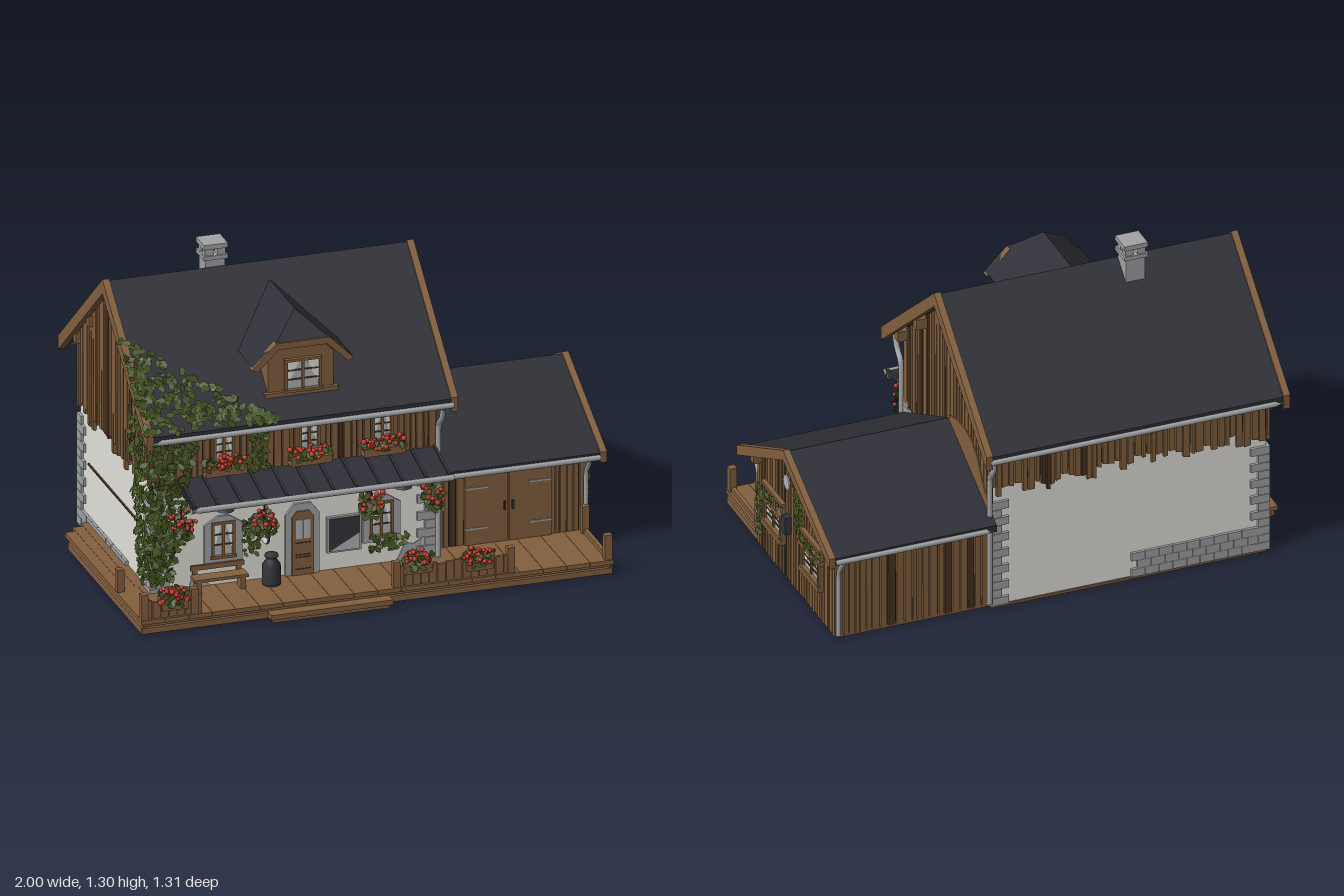
import * as THREE from 'three';
import { mergeGeometries } from 'three/addons/utils/BufferGeometryUtils.js';

const material = (name, color, side = THREE.FrontSide) => {
  const m = new THREE.MeshStandardMaterial({ color, side });
  m.name = name;
  return m;
};

export function createModel() {
  const root = new THREE.Group();
  root.name = 'chalet';
  const wood = material('wood', 0x83603f), darkWood = material('darkWood', 0x4a3423);
  const slate = material('slate', 0x2f3037, THREE.DoubleSide), plaster = material('plaster', 0xfffcf4);
  const stone = material('stone', 0xa3a4a6), leaf = material('leaf', 0x3f4f1c, THREE.DoubleSide);
  const flower = material('flower', 0xc4382a), iron = material('iron', 0x33343b);
  const glass = material('glass', 0xb2b5b7), earth = material('underside', 0x7a5a3d);

  let seed = 7;
  const rnd = (a = 0, b = 1) => {
    seed = (seed * 16807) % 2147483647;
    return a + (b - a) * seed / 2147483647;
  };

  // ---- helpers ----
  const part = (name, mat, geos, parent = root) => {
    const clean = geos.map(g => {
      const n = g.index ? g.toNonIndexed() : g;
      n.deleteAttribute('uv');
      n.clearGroups();
      return n;
    });
    const mesh = new THREE.Mesh(mergeGeometries(clean), mat);
    mesh.name = name;
    parent.add(mesh);
  };
  const box = (x0, x1, y0, y1, z0, z1) =>
    new THREE.BoxGeometry(x1 - x0, y1 - y0, z1 - z0).translate((x0 + x1) / 2, (y0 + y1) / 2, (z0 + z1) / 2);
  const extrude = (pts, depth) => new THREE.ExtrudeGeometry(
    new THREE.Shape(pts.map(p => new THREE.Vector2(...p))), { depth, bevelEnabled: false });
  const prismZ = (pts, z0, z1) => extrude(pts, z1 - z0).translate(0, 0, z0); // pts are x, y
  const prismX = (pts, x0, x1) =>                                           // pts are z, y
    extrude(pts.map(([z, y]) => [-z, y]), x1 - x0).rotateY(Math.PI / 2).translate(x0, 0, 0);
  const tube = (pts, r) => new THREE.TubeGeometry(
    new THREE.CatmullRomCurve3(pts.map(p => new THREE.Vector3(...p)), false, 'catmullrom', 0.1), 28, r, 8);
  const chevron = (zr, yr, zf, yf, zb, yb, t) =>
    [[zf, yf], [zr, yr], [zb, yb], [zb, yb - t], [zr, yr - t], [zf, yf - t]];

  // vertical boards of uneven width between two height rules
  const boards = (name, prism, a0, a1, d0, d1, bottom, top) => {
    const tones = [[], []];
    for (let a = a0; a < a1 - 0.004;) {
      let e = Math.min(a + rnd(0.018, 0.036), a1);
      if (a1 - e < 0.012) e = a1;
      const lo = bottom(a), s = e - rnd(0.003, 0.007), lean = rnd(-0.002, 0);
      tones[rnd() < 0.07 ? 1 : 0].push(prism([[a, lo], [s + lean, lo + rnd(-0.006, 0.006)], [s, top(s)], [a, top(a)]], d0, d1));
      a = e;
    }
    if (tones[0].length) part(name, wood, tones[0]);
    if (tones[1].length) part(name + 'Dark', darkWood, tones[1]);
  };

  // a single flat leaf roughly facing a direction
  const leafAt = (p, n, size) => {
    const g = new THREE.CircleGeometry(size, 5).scale(0.75, 1.1, 1).rotateZ(rnd(0, 6.3));
    const dir = new THREE.Vector3(n[0] + rnd(-0.5, 0.4), n[1] + rnd(-0.3, 0.7), n[2] + rnd(-0.4, 0.5)).normalize();
    g.applyQuaternion(new THREE.Quaternion().setFromUnitVectors(new THREE.Vector3(0, 0, 1), dir));
    return g.translate(...p);
  };
  const ivy = (name, count, place, n, size = 0.017) =>
    part(name, leaf, Array.from({ length: count }, () => leafAt(place(rnd(), rnd()), n, size * rnd(0.7, 1.2))));
  const flowers = (name, x, y, z, rx, ry, rz, count) => {
    const spot = () => {
      const a = rnd(0, 6.28), k = Math.sqrt(rnd());
      return [x + rx * k * Math.cos(a), y + rnd(-ry, ry), z + rz * k * Math.sin(a)];
    };
    part(name + 'Leaves', leaf, Array.from({ length: count * 2 }, () => leafAt(spot(), [0, 0.4, 0.8], 0.015)));
    part(name + 'Blooms', flower, Array.from({ length: count }, () => {
      const p = spot();
      return new THREE.IcosahedronGeometry(rnd(0.008, 0.0115), 1).translate(p[0], p[1] + ry * 0.5, p[2] + rz * 0.2);
    }));
  };

  // ---- main house ----
  const mainTop = z => 1.163 - 0.8333 * Math.abs(z + 0.11);
  const shedTop = z => 0.608 - 0.5 * Math.abs(z + 0.12);
  const gable = (f, zb, zr, zf, y0) => [[zf, y0], [zf, f(zf)], [zr, f(zr)], [zb, f(zb)], [zb, y0]];
  part('floorSlab', earth, [box(-0.87, 0.29, 0, 0.012, -0.53, 0.35), box(0.29, 0.935, 0, 0.012, -0.51, 0.28)]);
  part('plasterWalls', plaster, [box(-0.87, 0.285, 0.012, 0.57, -0.525, 0.348)]);
  part('upperWalls', darkWood, [prismX(gable(mainTop, -0.526, -0.11, 0.345, 0.555), -0.872, 0.284),
    box(0.28, 0.289, 0.3, 0.6, -0.52, 0.35), box(-0.86, 0.285, 0.475, 0.6, 0.34, 0.351)]);
  boards('frontBoards', prismZ, -0.88, 0.295, 0.345, 0.358, () => 0.47, () => mainTop(0.35));
  boards('backBoards', prismZ, -0.88, 0.295, -0.54, -0.524, () => rnd(0.49, 0.56), () => mainTop(-0.53));
  boards('leftGableBoards', prismX, -0.535, 0.355, -0.883, -0.868, () => rnd(0.47, 0.54), mainTop);
  boards('rightGableBoards', prismX, -0.535, 0.355, 0.284, 0.298, () => 0.46, mainTop);
  part('gablePatch', wood, [prismX([[-0.12, 0.6], [-0.13, 0.66], [-0.2, 0.68], [-0.28, 0.685], [-0.36, 0.67], [-0.42, 0.62], [-0.47, 0.54], [-0.53, 0.48], [-0.53, 0.43]], 0.294, 0.302)]);
  part('leftWallRail', darkWood, [box(-0.877, -0.868, 0.3, 0.306, -0.42, 0.2)]);

  // stone corners and plinth
  const stones = [];
  [[-0.87, -0.525, 1, 1], [-0.87, 0.348, 1, -1], [0.285, -0.525, -1, 1], [0.285, 0.348, -1, -1]].forEach(([x, z, sx, sz]) => {
    for (let i = 0; i < 13; i++) {
      const lx = i % 2 ? 0.05 : 0.08, lz = i % 2 ? 0.08 : 0.05, y = 0.012 + i * 0.036;
      stones.push(box(-lx / 2, lx / 2, y, y + 0.034, -lz / 2, lz / 2)
        .translate(x + sx * (lx / 2 - 0.012), 0, z + sz * (lz / 2 - 0.012)));
    }
  });
  for (let j = 0; j < 3; j++) for (let i = 0; i < 9; i++) {
    const x = -0.82 + i * 0.058 - (j % 2) * 0.025, y = 0.012 + j * 0.036, z = -0.48 + i * 0.06;
    stones.push(box(x, x + 0.056, y, y + 0.035, -0.536, -0.52));
    if (j < 2) stones.push(box(-0.882, -0.865, y, y + 0.035, z, z + 0.058));
  }
  part('stonework', stone, stones);
  part('bareWallPatches', stone, [
    [[0.13, 0.06], [0.24, 0.06], [0.24, 0.15], [0.2, 0.13], [0.17, 0.14]],
    [[-0.2, 0.4], [-0.16, 0.42], [-0.17, 0.46], [-0.22, 0.45]],
    [[-0.72, 0.06], [-0.62, 0.06], [-0.66, 0.09], [-0.71, 0.1]],
  ].map(p => prismZ(p, 0.344, 0.352)));

  // main roof, rake boards and purlin ends
  part('mainRoof', slate, [prismX(chevron(-0.11, 1.205, 0.43, 0.755, -0.645, 0.755, 0.035), -0.9, 0.335)]);
  const rake = chevron(-0.11, 1.212, 0.435, 0.762, -0.65, 0.762, 0.06);
  part('mainRakeBoards', wood, [prismX(rake, -0.92, -0.892), prismX(rake, 0.33, 0.358)]);
  const purlins = [];
  [-0.11, 0.13, 0.32, -0.35, -0.51].forEach(z => {
    const y = mainTop(z);
    purlins.push(box(-0.9, -0.86, y - 0.045, y, z - 0.018, z + 0.018), box(0.28, 0.34, y - 0.045, y, z - 0.018, z + 0.018));
  });
  purlins.push(box(0.29, 0.315, 1.03, 1.065, -0.125, -0.095));
  part('purlins', wood, purlins);

  // chimney with open cap
  const flue = [box(-0.495, -0.415, 1.1, 1.24, -0.195, -0.115), box(-0.504, -0.406, 1.235, 1.252, -0.204, -0.106),
    box(-0.504, -0.406, 1.28, 1.3, -0.204, -0.106)];
  [-0.48, -0.43].forEach(x => [-0.18, -0.13].forEach(z => flue.push(box(x - 0.017, x + 0.017, 1.25, 1.282, z - 0.017, z + 0.017))));
  part('chimney', stone, flue);

  // window facing +z, centred on its own origin
  const makeWindow = (name, x, y, z, w, h, surround) => {
    const g = new THREE.Group();
    g.name = name;
    const a = w / 2, b = h / 2, t = 0.011;
    part('panes', glass, [box(-a, a, -b, b, 0, 0.005)], g);
    part('frame', wood, [box(-a - t, -a, -b - t, b + t, 0, 0.016), box(a, a + t, -b - t, b + t, 0, 0.016),
      box(-a, a, b, b + t, 0, 0.016), box(-a - 0.015, a + 0.015, -b - t, -b, 0, 0.022), box(-0.005, 0.005, -b, b, 0, 0.013)], g);
    part('glazingBars', darkWood, [-1, 1].map(s => box(-a, a, s * h / 6 - 0.003, s * h / 6 + 0.003, 0, 0.009)), g);
    part('curtains', plaster, [-1, 1].map(s => prismZ([[s * a, b], [s * a * 0.25, b], [s * a * 0.8, -b * 0.4], [s * a, -b * 0.5]], 0.004, 0.007)), g);
    if (surround) {
      const o = new THREE.Shape([[-a - 0.04, -b - 0.03], [a + 0.04, -b - 0.03], [a + 0.04, b], [a * 0.6, b + 0.035], [-a * 0.6, b + 0.035], [-a - 0.04, b]].map(p => new THREE.Vector2(...p)));
      o.holes.push(new THREE.Path([[-a - t, -b - t], [-a - t, b + t], [a + t, b + t], [a + t, -b - t]].map(p => new THREE.Vector2(...p))));
      part('surround', stone, [new THREE.ExtrudeGeometry(o, { depth: 0.01, bevelEnabled: false })], g);
    }
    g.position.set(x, y, z);
    root.add(g);
    return g;
  };

  // front openings
  [-0.58, -0.23, 0.07].forEach((x, i) => {
    makeWindow('upperWindow' + i, x, 0.645, 0.357, 0.065, 0.1);
    part('upperFlowerBox', wood, [box(x - 0.085, x + 0.085, 0.54, 0.572, 0.357, 0.4)]);
    flowers('upperFlowers', x, 0.583, 0.385, 0.09, 0.02, 0.03, 30);
  });
  [-0.58, 0.07].forEach((x, i) => makeWindow('lowerWindow' + i, x, 0.255, 0.348, 0.075, 0.13, true));
  part('doorSurround', stone, [prismZ([[-0.325, 0.06], [-0.185, 0.06], [-0.185, 0.32], [-0.22, 0.365], [-0.29, 0.365], [-0.325, 0.32]], 0.345, 0.36)]);
  part('frontDoor', wood, [prismZ([[-0.3, 0.06], [-0.21, 0.06], [-0.21, 0.31], [-0.23, 0.335], [-0.28, 0.335], [-0.3, 0.31]], 0.345, 0.366)]);
  part('doorPanels', darkWood, [[0.09, 0.14], [0.15, 0.2]].flatMap(([b, t]) =>
    [box(-0.287, -0.223, b, b + 0.004, 0.36, 0.369), box(-0.287, -0.223, t, t + 0.004, 0.36, 0.369)]));
  part('doorGlass', glass, [box(-0.285, -0.258, 0.22, 0.3, 0.36, 0.369), box(-0.252, -0.225, 0.22, 0.3, 0.36, 0.369)]);
  part('noticeBoardFrame', stone, [box(-0.155, -0.015, 0.14, 0.29, 0.345, 0.362)]);
  part('noticeBoard', iron, [box(-0.148, -0.022, 0.147, 0.283, 0.355, 0.366)]);
  part('noticeBoardSheen', glass, [prismZ([[-0.145, 0.15], [-0.025, 0.15], [-0.025, 0.215]], 0.364, 0.368)]);

  // ---- dormer ----
  part('dormerWall', wood, [prismZ([[-0.39, 0.82], [-0.12, 0.82], [-0.12, 0.985], [-0.18, 1.04], [-0.33, 1.04], [-0.39, 0.985]], 0.06, 0.335)]);
  makeWindow('dormerWindow', -0.248, 0.905, 0.335, 0.13, 0.115);
  const dormerRoof = new THREE.BufferGeometry();
  const P = [-0.255, 1.15, 0.26], Q = [-0.255, 1.15, -0.05];
  const side = s => [[0.205, 0.965, 0.36], [0.108, 1.055, 0.36], P, Q, [0.205, 0.965, 0.16]]
    .map((p, i) => i === 2 || i === 3 ? p : [-0.255 + s * p[0], p[1], p[2]]);
  const [L, R] = [side(-1), side(1)];
  const fan = (q, flip) => [1, 2, 3].flatMap(i => flip ? [q[0], q[i + 1], q[i]] : [q[0], q[i], q[i + 1]]);
  const tris = [...fan(L, true), ...fan(R, false), L[1], R[1], P];
  dormerRoof.setAttribute('position', new THREE.Float32BufferAttribute(tris.flat(), 3));
  dormerRoof.computeVertexNormals();
  part('dormerRoof', slate, [dormerRoof]);
  const edge = [[-0.465, 0.955], [-0.365, 1.055], [-0.145, 1.055], [-0.045, 0.955]];
  part('dormerTrim', wood, [prismZ([...edge, [-0.07, 0.945], [-0.155, 1.028], [-0.355, 1.028], [-0.44, 0.945]], 0.335, 0.366),
    box(-0.405, -0.105, 0.822, 0.84, 0.325, 0.35)]);

  // ---- porch canopy ----
  part('canopyRoof', slate, [prismX([[0.35, 0.535], [0.55, 0.485], [0.55, 0.472], [0.35, 0.515]], -0.77, 0.29)]);
  const seams = [], arms = [];
  for (let i = 0; i < 12; i++) {
    const x = -0.765 + i * 0.095;
    seams.push(prismX([[0.35, 0.543], [0.55, 0.493], [0.55, 0.48], [0.35, 0.53]], x, x + 0.01));
  }
  [-0.74, -0.45, -0.01, 0.25].forEach(x => arms.push(box(x - 0.013, x + 0.013, 0.465, 0.485, 0.35, 0.545),
    prismX([[0.355, 0.38], [0.355, 0.41], [0.48, 0.47], [0.51, 0.47]], x - 0.012, x + 0.012)));
  part('canopySeams', iron, seams);
  part('canopyBrackets', wood, [...arms, box(-0.77, 0.29, 0.462, 0.478, 0.52, 0.54)]);

  // ---- shed ----
  part('shedWalls', darkWood, [prismX(gable(shedTop, -0.5, -0.12, 0.27, 0.012), 0.285, 0.928)]);
  boards('shedFrontBoards', prismZ, 0.3, 0.942, 0.27, 0.282, () => 0.02, () => shedTop(0.275));
  boards('shedBackBoards', prismZ, 0.3, 0.942, -0.514, -0.5, () => 0.01, () => shedTop(-0.505));
  boards('shedGableBoards', prismX, -0.514, 0.282, 0.928, 0.942, () => 0.01, shedTop);
  part('shedRoof', slate, [prismX(chevron(-0.12, 0.642, 0.35, 0.41, -0.59, 0.41, 0.03), 0.29, 0.97)]);
  part('shedRakeBoards', wood, [prismX(chevron(-0.12, 0.65, 0.355, 0.415, -0.595, 0.415, 0.045), 0.97, 0.997)]);
  part('shedPurlins', wood, [-0.12, 0.25, -0.48].map(z => box(0.93, 0.975, shedTop(z) - 0.035, shedTop(z), z - 0.015, z + 0.015)));
  part('shedDoors', wood, [box(0.435, 0.61, 0.065, 0.375, 0.275, 0.292), box(0.616, 0.79, 0.065, 0.375, 0.275, 0.292), box(0.42, 0.81, 0.375, 0.39, 0.275, 0.296)]);
  part('shedHinges', stone, [[0.435, 0.53], [0.695, 0.79]].flatMap(([a, b]) => [0.13, 0.3].map(y => box(a, b, y, y + 0.007, 0.29, 0.296))));
  part('shedHandles', iron, [box(0.592, 0.6, 0.2, 0.235, 0.29, 0.303), box(0.626, 0.634, 0.2, 0.235, 0.29, 0.303)]);
  [0.09, -0.3].forEach((z, i) => {
    makeWindow('shedWindow' + i, 0.942, 0.218, z, 0.15, 0.075).rotation.y = Math.PI / 2;
    part('shedPlanter', wood, [box(0.942, 0.968, 0.27, 0.288, z - 0.105, z + 0.105), box(0.942, 0.96, 0.325, 0.338, z - 0.105, z + 0.105),
      box(0.942, 0.965, 0.15, 0.17, z - 0.1, z + 0.1), box(0.942, 0.956, 0.16, 0.33, z + 0.085, z + 0.1), box(0.942, 0.956, 0.16, 0.33, z - 0.1, z - 0.085)]);
    ivy('shedPlanterGreen', 40, (u, v) => [0.965, 0.285 + v * 0.035, z - 0.08 + u * 0.16], [1, 0.2, 0], 0.012);
  });
  part('roundVent', glass, [new THREE.CylinderGeometry(0.027, 0.027, 0.008, 20).rotateZ(Math.PI / 2).translate(0.945, 0.447, -0.035)]);
  part('ventRing', stone, [new THREE.TorusGeometry(0.028, 0.004, 6, 20).rotateY(Math.PI / 2).translate(0.946, 0.447, -0.035)]);
  part('letterBox', iron, [box(0.942, 0.97, 0.235, 0.31, -0.075, -0.04)]);

  // ---- gutters and downpipes ----
  const pipes = [tube([[-0.9, 0.73, 0.435], [0.34, 0.73, 0.435]], 0.012), tube([[-0.9, 0.73, -0.645], [0.34, 0.73, -0.645]], 0.012),
    tube([[-0.78, 0.478, 0.555], [0.3, 0.478, 0.555]], 0.013), tube([[0.31, 0.39, 0.35], [0.97, 0.39, 0.35]], 0.012),
    tube([[0.31, 0.39, -0.59], [0.97, 0.39, -0.59]], 0.012)];
  pipes.push(tube([[0.3, 0.72, -0.64], [0.3, 0.7, -0.585], [0.3, 0.65, -0.58], [0.3, 0.61, -0.55], [0.3, 0.56, -0.543], [0.3, 0.03, -0.54]], 0.012),
    tube([[0.3, 0.72, 0.43], [0.3, 0.67, 0.41], [0.3, 0.63, 0.37], [0.3, 0.58, 0.365], [0.3, 0.07, 0.365]], 0.012),
    tube([[0.93, 0.385, 0.35], [0.93, 0.36, 0.33], [0.93, 0.32, 0.3], [0.93, 0.27, 0.295], [0.93, 0.07, 0.295]], 0.01),
    tube([[0.93, 0.385, -0.59], [0.93, 0.35, -0.56], [0.93, 0.31, -0.53], [0.93, 0.27, -0.526], [0.93, 0.02, -0.526]], 0.01));
  part('guttersAndPipes', stone, pipes);

  // ---- deck: boards across, slats and joists beneath ----
  const deck = [], frame = [];
  for (let i = 0; i < 20; i++) {
    const x = -1 + i * 0.097;
    deck.push(box(x, x + 0.0955, 0.048, 0.066, 0.28, 0.61));
    frame.push(box(x + 0.03, x + 0.055, 0.012, 0.036, 0.29, 0.59));
  }
  [-0.33, -0.37, -0.4].forEach((z, i) => deck.push(box(-1 + i * 0.044, -0.957 + i * 0.044, 0.048, 0.066, z, 0.281)));
  for (let i = 0; i < 6; i++) deck.push(box(-0.99, 0.93, 0.036, 0.048, 0.29 + i * 0.055, 0.325 + i * 0.055));
  deck.push(box(-0.995, 0.935, 0.008, 0.032, 0.588, 0.606), box(-0.998, -0.98, 0.008, 0.034, -0.3, 0.6),
    box(0.92, 0.938, 0.008, 0.034, 0.285, 0.6), box(-0.48, 0.02, 0.015, 0.036, 0.6, 0.65), box(-0.47, 0.01, 0, 0.016, 0.61, 0.64));
  part('deckBoards', wood, deck);
  part('deckJoists', darkWood, frame);

  // fence runs of short boards with rails
  const fence = [];
  const run = (x0, x1) => {
    for (let x = x0; x < x1; x += 0.034) fence.push(box(x, x + 0.031, 0.064, 0.14 + rnd(-0.008, 0.012), 0.588, 0.6));
    fence.push(box(x0, x1, 0.1, 0.115, 0.578, 0.589));
    [x0, x1].forEach(x => fence.push(box(x - 0.014, x + 0.014, 0.06, 0.172, 0.577, 0.606)));
  };
  run(-0.985, -0.78);
  run(0.05, 0.52);
  fence.push(box(0.905, 0.935, 0.06, 0.17, 0.575, 0.605), box(0.905, 0.935, 0.06, 0.18, 0.295, 0.325),
    box(0.912, 0.928, 0.064, 0.085, 0.32, 0.58), box(-0.998, -0.97, 0.06, 0.16, 0.28, 0.308));
  part('fence', wood, fence);
  [[-0.86, 0.13], [0.14, 0.15], [0.39, 0.13]].forEach(([x, y]) => {
    part('fencePlanter', wood, [box(x - 0.055, x + 0.055, y - 0.035, y, 0.565, 0.61)]);
    flowers('fenceFlowers', x, y + 0.01, 0.585, 0.06, 0.026, 0.042, 38);
  });

  // ---- porch furniture ----
  part('bench', wood, [box(-0.72, -0.5, 0.115, 0.127, 0.37, 0.43), box(-0.72, -0.5, 0.145, 0.165, 0.365, 0.375),
    ...[-0.71, -0.53].flatMap(x => [box(x, x + 0.02, 0.064, 0.116, 0.375, 0.425), box(x, x + 0.02, 0.116, 0.16, 0.362, 0.37)])]);
  const can = [[0, 0], [0.036, 0], [0.038, 0.01], [0.036, 0.085], [0.022, 0.105], [0.022, 0.115], [0.028, 0.118], [0.026, 0.128], [0, 0.132]];
  part('milkCan', iron, [new THREE.LatheGeometry(can.map(p => new THREE.Vector2(...p)), 20).translate(-0.4, 0.064, 0.41)]);
  [-0.79, -0.45, -0.01, 0.24].forEach((x, i) => {
    const y = i === 1 ? 0.36 : 0.38;
    part('hangingBasket', darkWood, [new THREE.SphereGeometry(0.034, 12, 8).scale(1, 0.8, 1).translate(x, y - 0.02, 0.47)]);
    part('basketCord', iron, [tube([[x, y, 0.47], [x, 0.47, 0.47]], 0.003)]);
    flowers('basketFlowers', x, y, 0.475, 0.05, 0.035, 0.06, 18);
    ivy('basketTrails', 18, (u, v) => [x - 0.035 + u * 0.07, y - 0.06 + v * 0.05, 0.5], [0, 0.2, 1], 0.013);
  });
  [-0.6, 0.13].forEach(x => part('porchLamp', iron, [new THREE.ConeGeometry(0.036, 0.03, 16).translate(x, 0.43, 0.44),
    tube([[x, 0.44, 0.44], [x, 0.475, 0.44]], 0.004)]));
  part('hangingDisc', plaster, [new THREE.CylinderGeometry(0.05, 0.05, 0.01, 24).rotateZ(Math.PI / 2).translate(-0.44, 0.31, 0.45)]);
  part('discRim', iron, [new THREE.TorusGeometry(0.05, 0.005, 6, 24).rotateY(Math.PI / 2).translate(-0.44, 0.31, 0.45)]);

  // ---- climbing plants ----
  ivy('ivyColumn', 420, (u, v) => [-0.9 + u * (0.09 + 0.12 * v), 0.12 + v * 0.64, 0.37 + rnd(0, 0.05)], [0, 0.2, 1]);
  ivy('ivyRoof', 330, (u, v) => {
    const x = -0.92 + 0.54 * u ** 1.6, z = 0.44 - v * 0.34 * (1 - u ** 1.6);
    return [x, 1.22 - 0.8333 * (z + 0.11) + rnd(0, 0.015), z];
  }, [0, 0.7, 0.8]);
  ivy('ivyLeftWall', 260, (u, v) => [-0.9 - rnd(0, 0.02), 0.12 + v * 0.68, 0.38 - u * (0.06 + 0.16 * v)], [-1, 0.2, 0]);
  ivy('ivyUpperWall', 55, (u, v) => [-0.47 + u * 0.07, 0.52 + v * 0.22, 0.372], [0, 0.2, 1], 0.014);
  ivy('ivyWindowVine', 45, (u, v) => [-0.5 + u * 0.06, 0.18 + v * 0.16, 0.37], [0, 0.2, 1], 0.013);
  ivy('ivyRightVine', 40, (u, v) => [0.02 + u * 0.16, 0.13 + v * 0.07, 0.375], [0, 0.2, 1], 0.013);
  ivy('ivyShedGable', 100, (u, v) => [0.952, 0.3 + v * 0.21, -0.17 + (u - 0.5) * (0.05 + 0.06 * v)], [1, 0.2, 0], 0.014);
  ivy('ivyShedCorner', 45, (u, v) => [0.952, 0.07 + v * 0.22, 0.27 - u * 0.06], [1, 0.2, 0], 0.013);
  return root;
}
